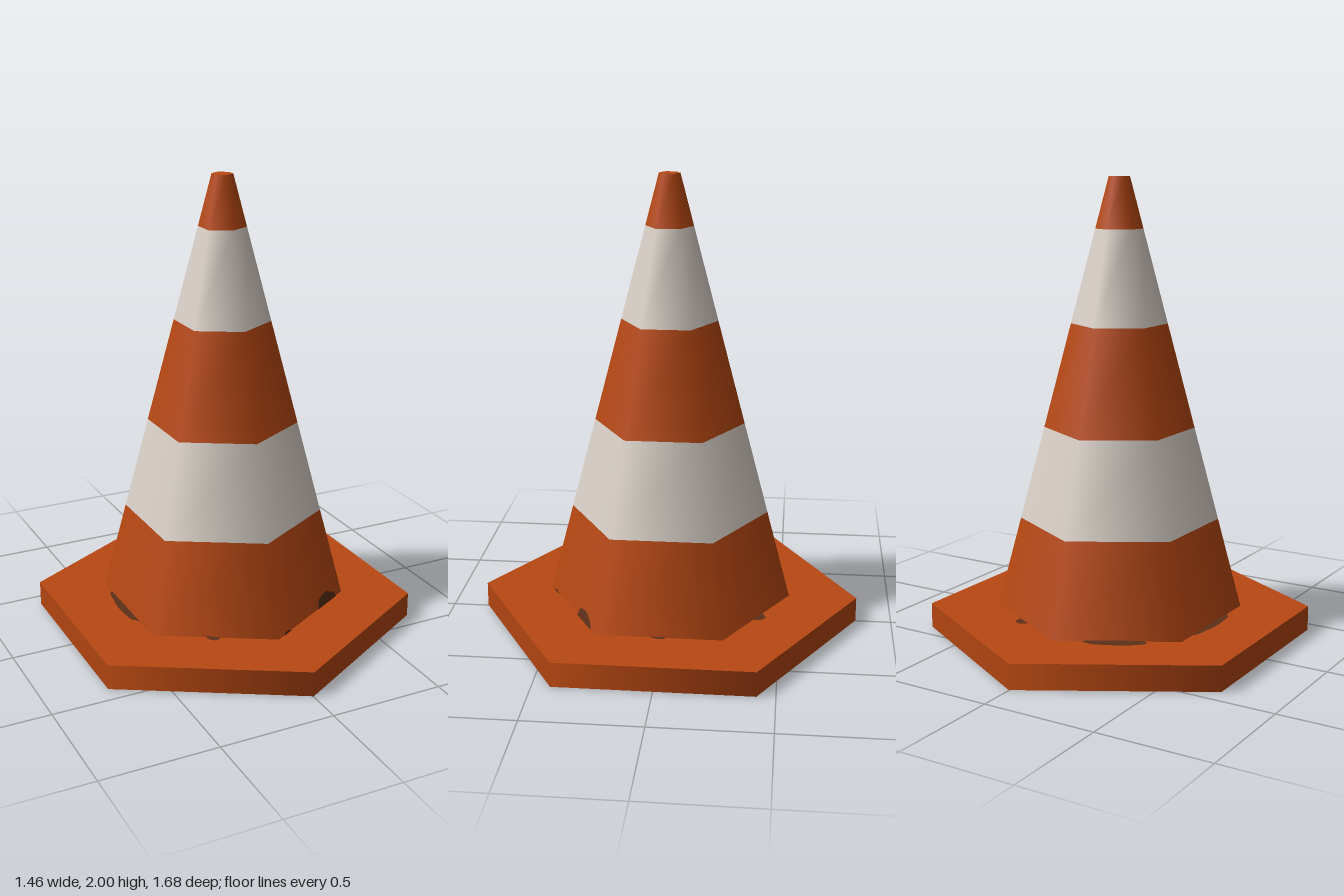
import * as THREE from 'three';

const SIDES = 6;
const BASE_TOP = 0.11, CONE_R = 0.54, TIP_R = 0.045, HEIGHT = 2;
const coneRadius = (y) => CONE_R + ((TIP_R - CONE_R) * (y - BASE_TOP)) / (HEIGHT - BASE_TOP);

const mat = (name, color) => Object.assign(new THREE.MeshStandardMaterial({ color }), { name });

// Flat irregular patch facing +z
function blob(rx, ry, wobble, seed) {
  const n = 28, pts = [];
  for (let i = 0; i < n; i++) {
    const a = (i / n) * Math.PI * 2;
    const k = 1 + wobble * (Math.sin(3 * a + seed) + 0.6 * Math.sin(7 * a + 2 * seed));
    pts.push(new THREE.Vector2(Math.cos(a) * rx * k, Math.sin(a) * ry * k));
  }
  return new THREE.ShapeGeometry(new THREE.Shape(pts));
}

export function createModel() {
  const model = new THREE.Group();
  model.name = 'trafficCone';
  const orange = mat('orange', 0xb84812);
  const white = mat('reflectiveWhite', 0xdcd3ca);
  const dirt = mat('dirt', 0x5c3018);

  const add = (name, geometry, material, parent = model) => {
    const mesh = new THREE.Mesh(geometry, material);
    mesh.name = name;
    parent.add(mesh);
    return mesh;
  };

  // Hexagonal foot plate
  add('basePlate', new THREE.CylinderGeometry(0.842, 0.842, BASE_TOP, SIDES), orange)
    .position.y = BASE_TOP / 2;

  // Tapered body in alternating bands
  const levels = [BASE_TOP, 0.51, 0.92, 1.375, 1.78, HEIGHT];
  for (let i = 0; i < levels.length - 1; i++) {
    const [lo, hi] = [levels[i], levels[i + 1]];
    const band = new THREE.CylinderGeometry(coneRadius(hi), coneRadius(lo), hi - lo, SIDES, 1, true);
    add(`band${i + 1}`, band, i % 2 ? white : orange).position.y = (lo + hi) / 2;
  }

  // Closed tip
  const tip = add('tipCap', new THREE.CircleGeometry(TIP_R, SIDES, Math.PI / 2), orange);
  tip.rotation.x = -Math.PI / 2;
  tip.position.y = HEIGHT;

  // Dirt on the plate along the foot of the body: x, z, half length, half width, turn
  const stains = [
    [-0.24, -0.415, 0.13, 0.045, Math.PI / 6],
    [-0.47, -0.02, 0.16, 0.03, Math.PI / 2],
    [0.235, -0.41, 0.035, 0.03, -Math.PI / 6],
    [0.47, 0, 0.03, 0.015, Math.PI / 2],
    [-0.24, 0.405, 0.03, 0.025, -Math.PI / 6],
  ];
  stains.forEach(([x, z, rx, ry, turn], i) => {
    const stain = add(`plateDirt${i + 1}`, blob(rx, ry, 0.07, i + 1), dirt);
    stain.rotation.set(-Math.PI / 2, 0, turn);
    stain.position.set(x, BASE_TOP + 0.003, z);
  });

  // Dirt on the front left face of the body: offset along the face, half width, height
  const face = new THREE.Group();
  face.name = 'bodyDirt';
  face.rotation.y = Math.PI / 6;
  model.add(face);
  const tilt = Math.atan(((CONE_R - TIP_R) * Math.cos(Math.PI / 6)) / (HEIGHT - BASE_TOP));
  [[0.135, 0.08, 0.05], [-0.2, 0.03, 0.01]].forEach(([t, rx, ry], i) => {
    const stain = add(`bodyDirt${i + 1}`, blob(rx, ry, 0.06, i + 2), dirt, face);
    stain.rotation.x = -tilt;
    stain.position.set(t, BASE_TOP, CONE_R * Math.cos(Math.PI / 6) + 0.003);
  });

  // Dark round stain on the underside
  const under = add('undersideDirt', blob(0.48, 0.48, 0.012, 1), dirt);
  under.rotation.x = Math.PI / 2;
  under.position.y = -0.002;

  return model;
}
